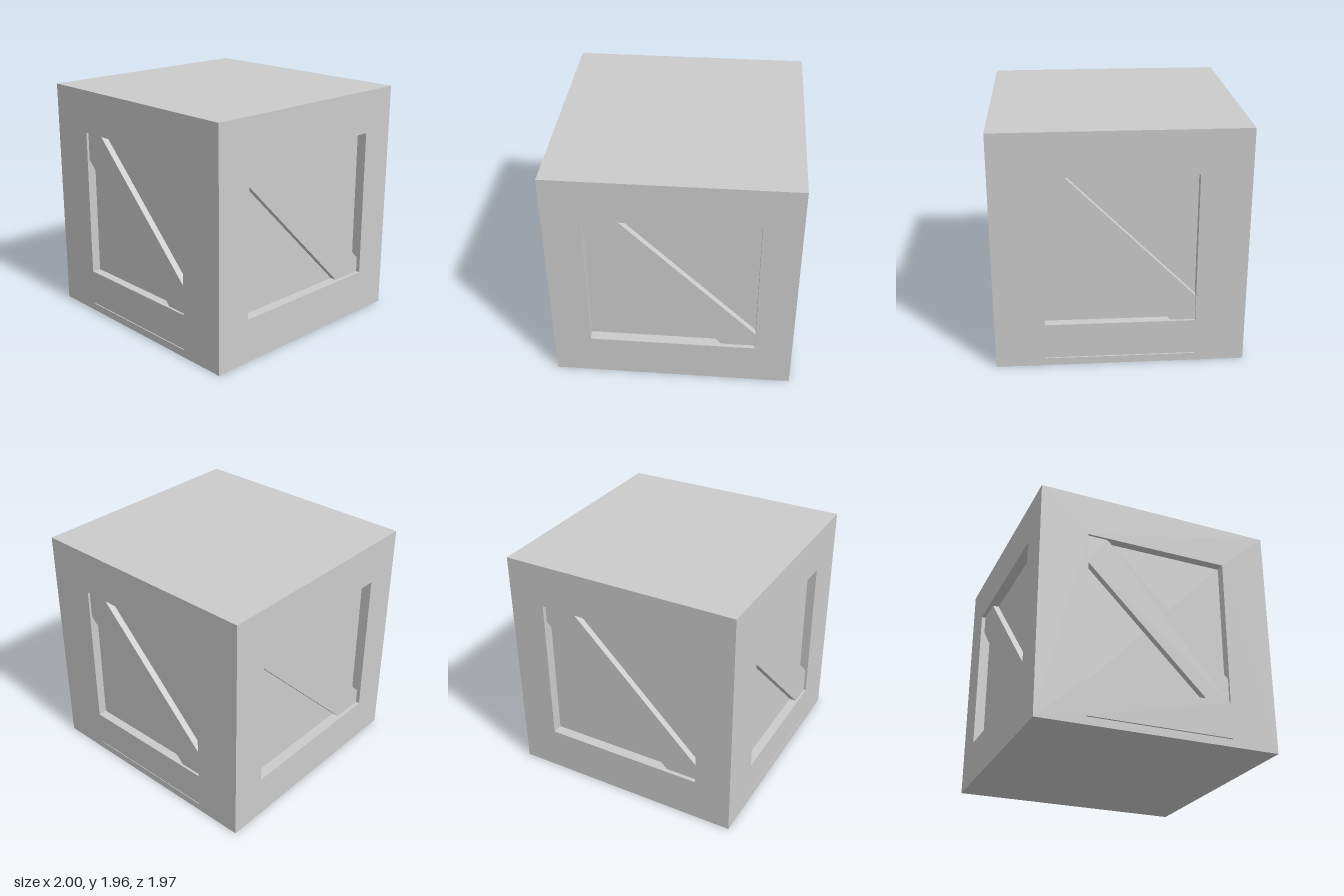
import * as THREE from 'three';

const HEIGHT = 1.96, HALF_X = 1, HALF_Z = 0.985;
const DEPTH_X = 0.086, DEPTH_Z = 0.074; // recess depth of side and front/back windows
const BOTTOM = 0.366, TOP = 1.605;      // window sill and head
const LOWER = 0.77, UPPER = 1.175;      // 45 degree brace edges, where x + y is constant

const material = new THREE.MeshStandardMaterial({ color: 0xcccccc });

function polygon(points, Type = THREE.Shape) {
  return new Type(points.map(([x, y]) => new THREE.Vector2(x, y)));
}

function rectangle(x, y0, y1, Type) {
  return polygon([[-x, y0], [x, y0], [x, y1], [-x, y1]], Type);
}

function extrude(shape, depth, name) {
  const geometry = new THREE.ExtrudeGeometry(shape, { depth, bevelEnabled: false });
  const mesh = new THREE.Mesh(geometry, material);
  mesh.name = name;
  return mesh;
}

// One crate wall: a frame with a window and a diagonal brace set inside it
function createWall({ name, halfWidth, window, depth, braceInset, distance, angle, slot }) {
  const wall = new THREE.Group();
  wall.name = name;

  const frame = rectangle(halfWidth, 0, HEIGHT);
  frame.holes.push(rectangle(window, BOTTOM, TOP, THREE.Path));
  // Narrow groove under the window
  if (slot) frame.holes.push(rectangle(window, 0.063, 0.07, THREE.Path));
  const frameMesh = extrude(frame, depth, 'frame');
  frameMesh.position.z = distance - depth;

  // Brace clipped to the window outline
  const brace = polygon([
    [-window, LOWER + window], [LOWER - BOTTOM, BOTTOM], [window, BOTTOM],
    [window, UPPER - window], [UPPER - TOP, TOP], [-window, TOP],
  ]);
  const braceMesh = extrude(brace, depth - braceInset, 'diagonalBrace');
  braceMesh.position.z = distance - depth;

  wall.add(frameMesh, braceMesh);
  wall.rotation.y = angle;
  return wall;
}

export function createModel() {
  const crate = new THREE.Group();
  crate.name = 'crate';

  // Solid core, its sides showing as the recessed panels
  const core = new THREE.Mesh(
    new THREE.BoxGeometry(2 * (HALF_X - DEPTH_X), HEIGHT, 2 * (HALF_Z - DEPTH_Z)), material);
  core.name = 'corePanels';
  core.position.y = HEIGHT / 2;
  crate.add(core);

  // Front and back walls run the full width
  const frontBack = { halfWidth: HALF_X, window: 0.6, depth: DEPTH_Z, braceInset: 0.02, distance: HALF_Z, slot: true };
  // Side walls fit between them
  const sides = { halfWidth: HALF_Z - DEPTH_Z, window: 0.68, depth: DEPTH_X, braceInset: 0.033, distance: HALF_X };
  crate.add(
    createWall({ ...frontBack, name: 'frontWall', angle: 0 }),
    createWall({ ...frontBack, name: 'backWall', angle: Math.PI }),
    createWall({ ...sides, name: 'leftWall', angle: Math.PI / 2 }),
    createWall({ ...sides, name: 'rightWall', angle: -Math.PI / 2 }),
  );
  return crate;
}
